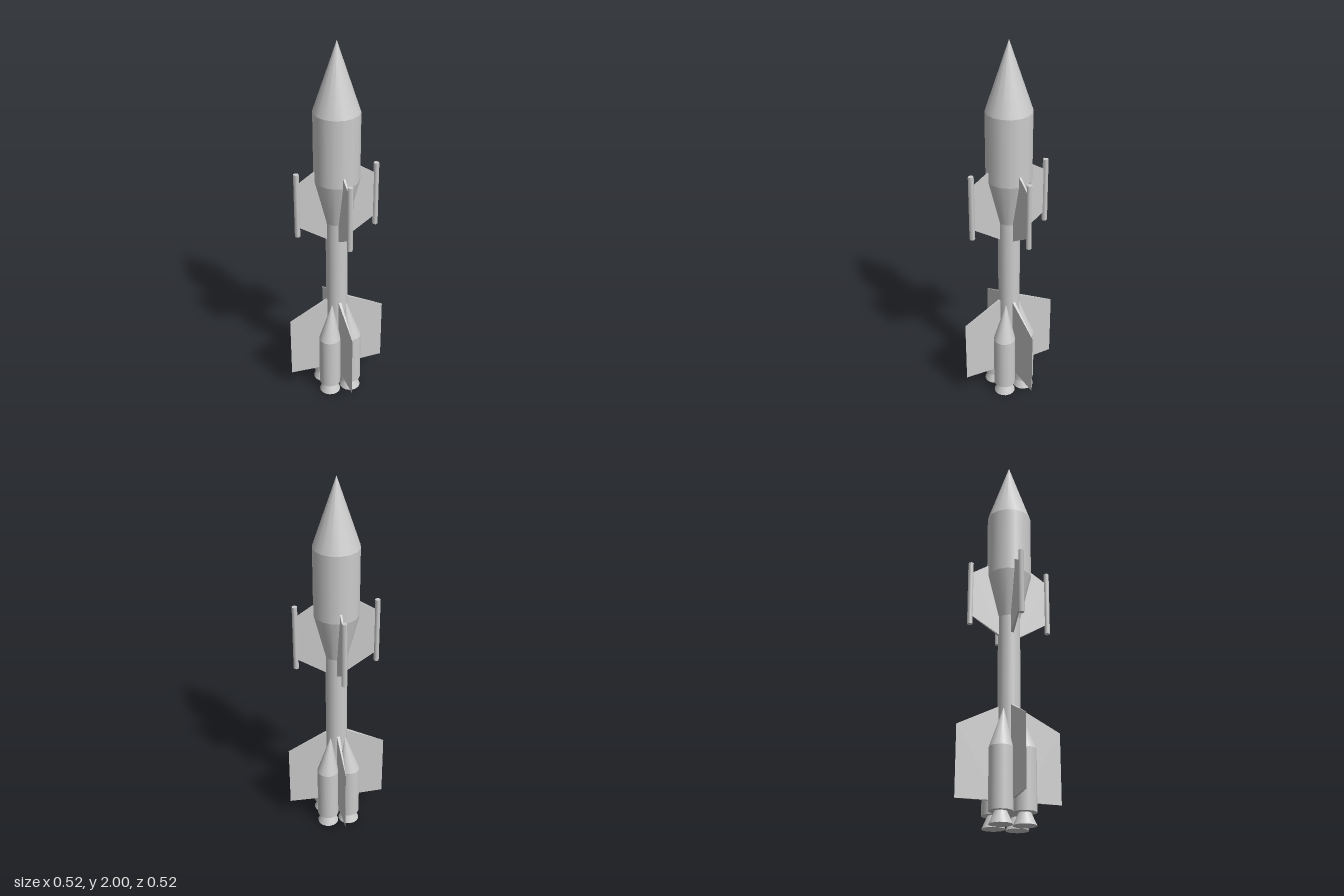
import * as THREE from 'three';

const grey = new THREE.MeshStandardMaterial({ color: 0xcccccc });

function addMesh(parent, name, geometry) {
  const mesh = new THREE.Mesh(geometry, grey);
  mesh.name = name;
  parent.add(mesh);
  return mesh;
}

// Round section between two heights
function section(rBottom, rTop, y0, y1, sides = 16, open = false) {
  return new THREE.CylinderGeometry(rTop, rBottom, y1 - y0, sides, 1, open)
    .translate(0, (y0 + y1) / 2, 0);
}

// Flat plate outlined in x/y whose thickness tapers from root to tip
function taperedFin(outline, rootThickness, tipThickness) {
  const shape = new THREE.Shape(outline.map(([x, y]) => new THREE.Vector2(x, y)));
  const geometry = new THREE.ExtrudeGeometry(shape, { depth: 1, bevelEnabled: false });
  geometry.translate(0, 0, -0.5);
  const xs = outline.map((p) => p[0]);
  const x0 = Math.min(...xs), x1 = Math.max(...xs);
  const pos = geometry.attributes.position;
  for (let i = 0; i < pos.count; i++) {
    const t = (pos.getX(i) - x0) / (x1 - x0);
    pos.setZ(i, pos.getZ(i) * THREE.MathUtils.lerp(rootThickness, tipThickness, t));
  }
  geometry.computeVertexNormals();
  return geometry;
}

// Strap-on booster, standing outward along +z
function createBooster() {
  const booster = new THREE.Group();
  const r = 0.058, offset = 0.082;
  addMesh(booster, 'boosterNozzle', section(0.057, 0.03, 0, 0.06)).position.z = offset;
  addMesh(booster, 'boosterBody', section(r, r, 0.06, 0.36)).position.z = offset;

  // Slanted nose: a cone sheared so that its tip meets the core
  const height = 0.21, lean = -0.028;
  const nose = section(r, 0, 0, height, 16, true);
  nose.applyMatrix4(new THREE.Matrix4().set(
    1, 0, 0, 0,
    0, 1, 0, 0,
    0, lean / height, 1, 0,
    0, 0, 0, 1));
  addMesh(booster, 'boosterNose', nose).position.set(0, 0.36, offset);
  return booster;
}

export function createModel() {
  const rocket = new THREE.Group();
  rocket.name = 'rocket';
  const bodyR = 0.116, coreR = 0.057;

  // Central stack
  addMesh(rocket, 'core', section(coreR, coreR, 0.06, 1.06));
  addMesh(rocket, 'taper', section(coreR, bodyR, 1.06, 1.3, 16, true));
  addMesh(rocket, 'upperBody', section(bodyR, bodyR, 1.3, 1.655, 16, true));
  addMesh(rocket, 'noseCone', section(bodyR, 0, 1.655, 2, 16, true));

  const upperFin = taperedFin([[0.05, 0.96], [0.2, 1.055], [0.2, 1.3], [0.05, 1.395]], 0.016, 0.005);
  const lowerFin = taperedFin([[0.05, 0.12], [0.262, 0.12], [0.262, 0.475], [0.05, 0.582]], 0.016, 0.001);
  const rod = section(0.0145, 0.0145, 1.005, 1.355, 6).translate(0.207, 0, 0);

  // Four fin arms along the axes, four boosters on the diagonals
  for (let i = 0; i < 4; i++) {
    const arm = new THREE.Group();
    arm.name = 'finArm' + (i + 1);
    arm.rotation.y = i * Math.PI / 2;
    addMesh(arm, 'upperFin', upperFin);
    addMesh(arm, 'finTipRod', rod);
    addMesh(arm, 'lowerFin', lowerFin);
    rocket.add(arm);

    const booster = createBooster();
    booster.name = 'booster' + (i + 1);
    booster.rotation.y = Math.PI / 4 + i * Math.PI / 2;
    rocket.add(booster);
  }
  return rocket;
}
